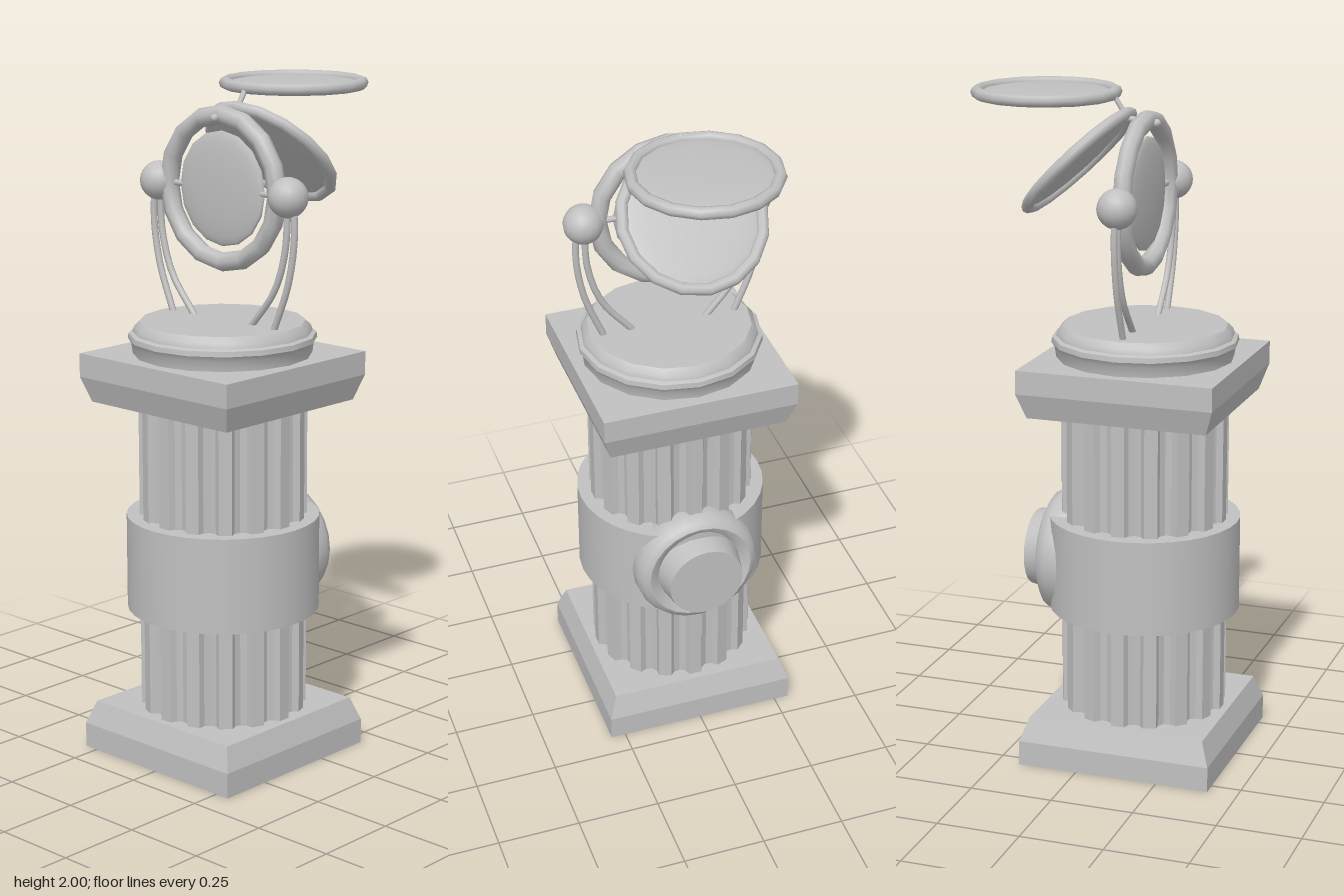
import * as THREE from 'three';
import { toCreasedNormals } from 'three/addons/utils/BufferGeometryUtils.js';

const stone = new THREE.MeshStandardMaterial({ color: 0xc0c0c0 });
stone.name = 'grey stone';
const AXIS_Z = 0.115; // the column stands forward of the origin

export function createModel() {
  const model = new THREE.Group();
  model.name = 'lensPedestal';

  const add = (name, geometry, x = 0, y = 0, z = AXIS_Z) => {
    const mesh = new THREE.Mesh(geometry, stone);
    mesh.name = name;
    mesh.position.set(x, y, z);
    model.add(mesh);
    return mesh;
  };
  const lathe = (points, sides, crease = 0.6) => toCreasedNormals(
    new THREE.LatheGeometry(points.map(([r, y]) => new THREE.Vector2(r, y)), sides), crease);
  const rod = (name, points, radius, steps = 1) => {
    const curve = new THREE.CatmullRomCurve3(points.map((p) => new THREE.Vector3(...p)));
    return add(name, new THREE.TubeGeometry(curve, steps, radius, 8), 0, 0, 0);
  };

  // Square plinth and capital with bevelled edges
  const slab = (name, profile) => {
    const g = lathe(profile.map(([half, y]) => [half * Math.SQRT2, y]), 4, 0.1);
    add(name, g.rotateY(Math.PI / 4));
  };
  slab('plinth', [[0, 0], [0.295, 0], [0.295, 0.075], [0.27, 0.145], [0, 0.145]]);
  slab('capital', [[0, 1.075], [0.27, 1.075], [0.295, 1.15], [0.295, 1.22], [0, 1.22]]);

  // Fluted shaft: flat fillets between shallow rounded grooves
  const flutes = 16;
  const outline = [];
  for (let i = 0; i < flutes; i++) {
    for (const [t, r] of [[0, 0.248], [0.4, 0.248], [0.5, 0.23], [0.7, 0.222], [0.9, 0.23]]) {
      const a = ((i + t - 0.2) / flutes) * Math.PI * 2;
      outline.push(new THREE.Vector2(Math.cos(a) * r, Math.sin(a) * r));
    }
  }
  const shaft = new THREE.ExtrudeGeometry(new THREE.Shape(outline), { depth: 0.93, bevelEnabled: false });
  add('flutedShaft', toCreasedNormals(shaft.rotateX(-Math.PI / 2), 0.5), 0, 0.145);

  // Plain band around the shaft, with a round boss at the back
  add('band', new THREE.CylinderGeometry(0.286, 0.286, 0.285, 32), 0, 0.593);
  const boss = lathe([
    [0.15, -0.08], [0.16, 0.04], [0.182, 0.065], [0.192, 0.1], [0.19, 0.14], [0.178, 0.165],
    [0.16, 0.175], [0.142, 0.168], [0.128, 0.155], [0.115, 0.23], [0, 0.23],
  ], 24, 0.7);
  add('backBoss', boss.rotateX(-Math.PI / 2), 0, 0.593, 0);

  // Round turntable
  add('turntable', lathe([
    [0, 1.22], [0.262, 1.22], [0.266, 1.25], [0.276, 1.265], [0.274, 1.28],
    [0.262, 1.285], [0.258, 1.3], [0.242, 1.316], [0, 1.322],
  ], 16, 0.7));

  // Paired curved arms and pivot balls on both sides
  for (const s of [-1, 1]) {
    const side = s > 0 ? 'left' : 'right';
    rod(side + 'OuterArm', [[s * 0.275, 1.69, AXIS_Z], [s * 0.278, 1.58, AXIS_Z],
      [s * 0.255, 1.45, AXIS_Z], [s * 0.2, 1.31, AXIS_Z]], 0.01, 10);
    rod(side + 'InnerArm', [[s * 0.25, 1.69, AXIS_Z], [s * 0.246, 1.56, AXIS_Z],
      [s * 0.205, 1.43, AXIS_Z], [s * 0.11, 1.31, AXIS_Z]], 0.01, 10);
    add(side + 'PivotBall', new THREE.SphereGeometry(0.058, 16, 12), s * 0.254, 1.7);
    rod(side + 'LensPin', [[s * 0.15, 1.7, AXIS_Z], [s * 0.2, 1.7, AXIS_Z]], 0.009);
  }

  // Three framed lenses: upright, tilted and level
  const lens = (name, y, z, tilt, frameRadius, tube, lensRadius, bulge) => {
    const frame = new THREE.TorusGeometry(frameRadius, tube, 8, 16);
    add(name + 'Frame', frame, 0, y, z).rotation.x = tilt;
    const glass = new THREE.SphereGeometry(1, 16, 12).rotateX(Math.PI / 2);
    add(name + 'Glass', glass.scale(lensRadius, lensRadius, bulge), 0, y, z).rotation.x = tilt;
  };
  lens('uprightLens', 1.7, AXIS_Z, 0, 0.213, 0.028, 0.167, 0.02);
  lens('tiltedLens', 1.785, -0.09, Math.PI / 4, 0.202, 0.018, 0.195, 0.012);
  lens('levelLens', 1.98, -0.19, Math.PI / 2, 0.202, 0.018, 0.195, 0.014);

  // Hinge pin and links joining the lenses at the top
  rod('hingePin', [[0, 1.905, 0.15], [0, 1.915, 0.05]], 0.009);
  add('hingePinHead', new THREE.SphereGeometry(0.012, 10, 8), 0, 1.905, 0.146);
  rod('levelLensLink', [[0, 1.92, 0.055], [0, 1.985, 0.012]], 0.008);
  add('lowerLinkBall', new THREE.SphereGeometry(0.013, 10, 8), 0, 1.93, 0.045);
  add('upperLinkBall', new THREE.SphereGeometry(0.012, 10, 8), 0, 1.987, 0.011);

  return model;
}
